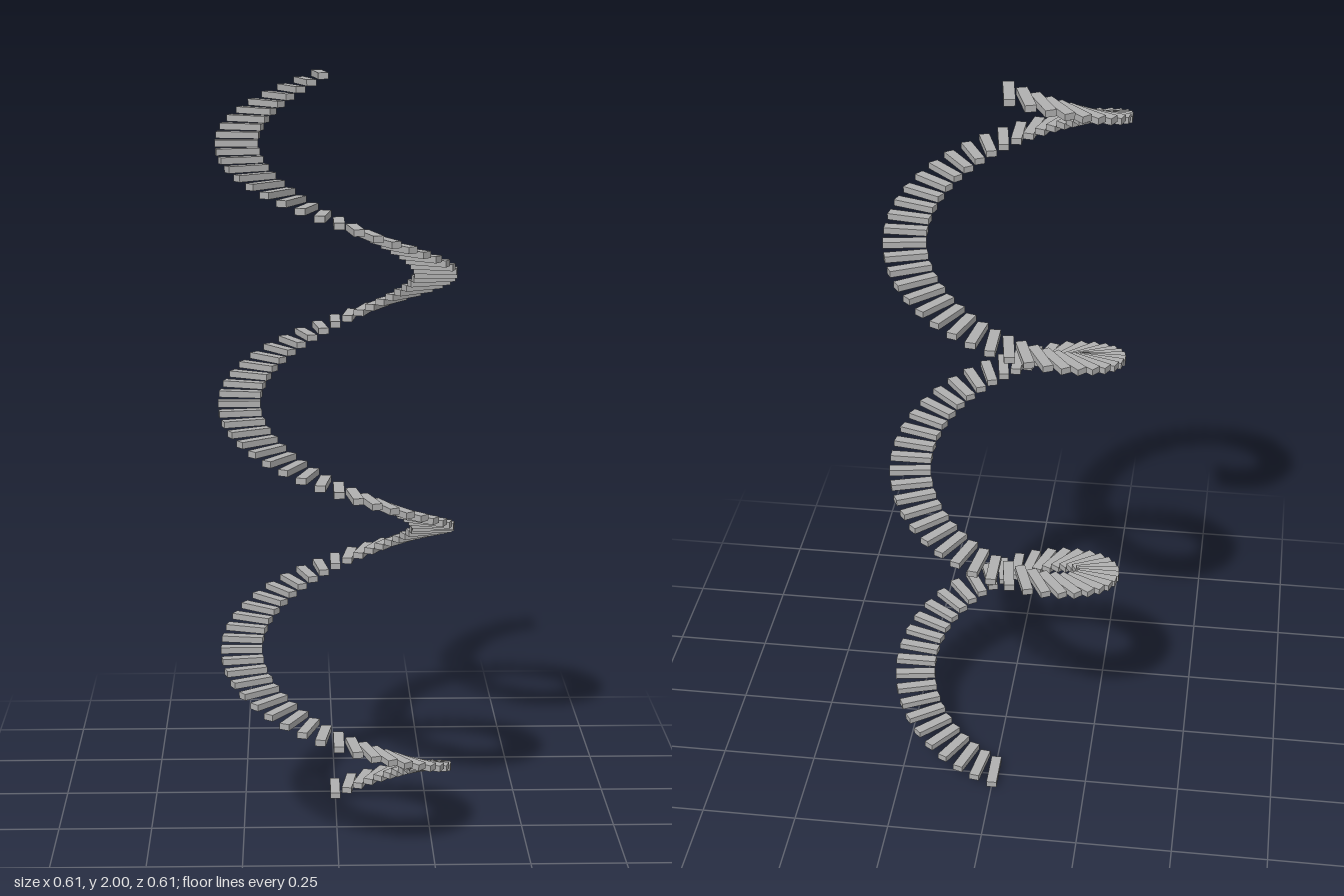
import * as THREE from 'three';

const STEPS = 120;          // three full turns
const STEPS_PER_TURN = 40;
const RISE = 2 / STEPS;
const INNER = 0.197, OUTER = 0.306, WIDTH = 0.027;

export function createModel() {
  const stair = new THREE.Group();
  stair.name = 'spiralStair';
  const grey = new THREE.MeshStandardMaterial({ color: 0xb0b0b0 });
  grey.name = 'stone grey';

  // One tread, lying radially and offset from the central axis
  const tread = new THREE.BoxGeometry(WIDTH, RISE, OUTER - INNER);
  tread.translate(0, RISE / 2, -(INNER + OUTER) / 2);

  // Climb from the back towards the model's left
  for (let i = 0; i < STEPS; i++) {
    const step = new THREE.Mesh(tread, grey);
    step.name = `step${i + 1}`;
    step.position.y = i * RISE;
    step.rotation.y = -(i / STEPS_PER_TURN) * Math.PI * 2;
    stair.add(step);
  }
  return stair;
}
